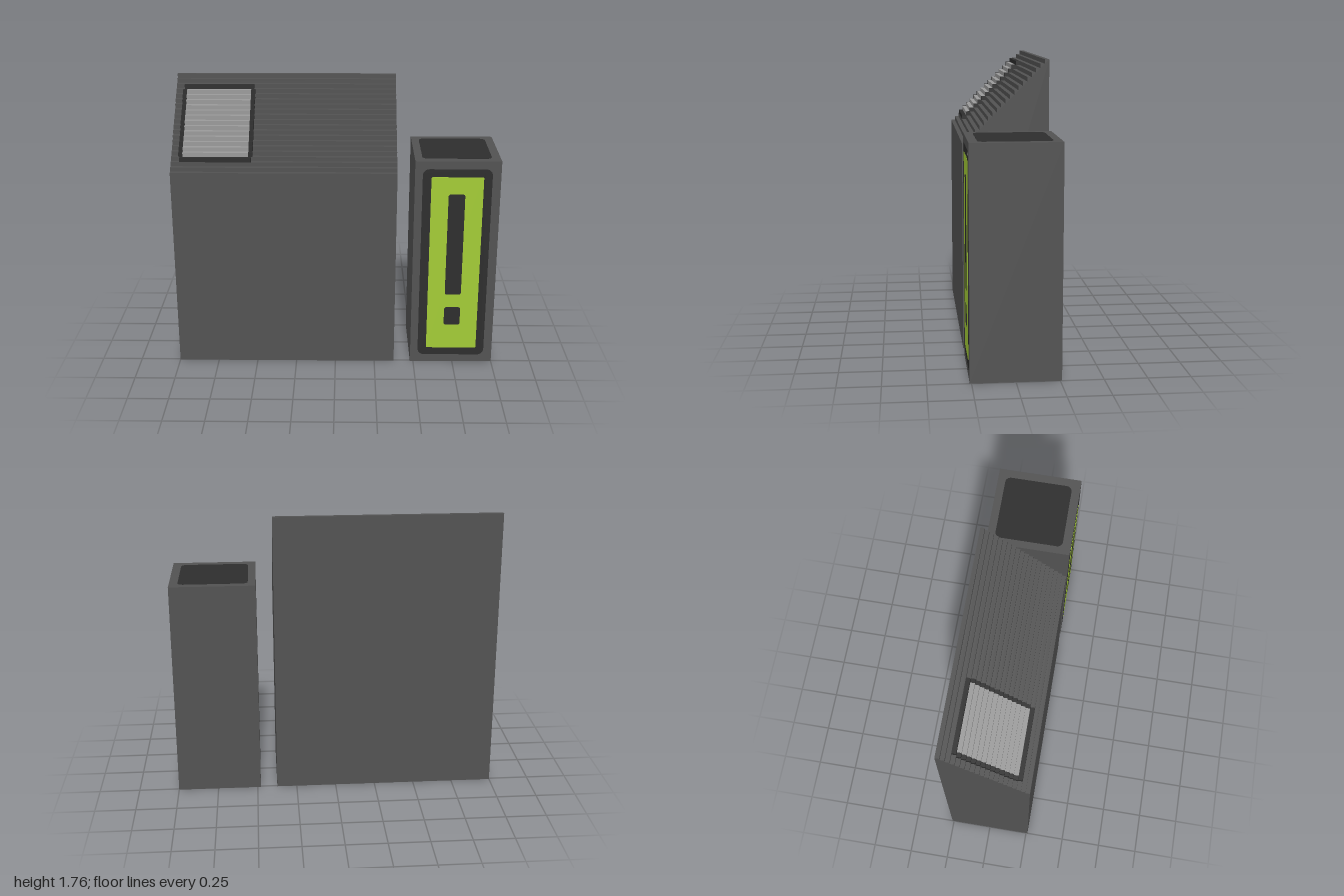
import * as THREE from 'three';

export function createModel() {
  const model = new THREE.Group();
  const mat = (name, color) => {
    const m = new THREE.MeshStandardMaterial({ color });
    m.name = name;
    return m;
  };
  const grey = mat('casing grey', 0x525252);
  const dark = mat('dark trim', 0x2d2d2d);
  const green = mat('lime green', 0xa3cb36);
  const silver = mat('screen grey', 0x9a9a9a);

  const add = (name, geometry, material, parent = model) => {
    const mesh = new THREE.Mesh(geometry, material);
    mesh.name = name;
    parent.add(mesh);
    return mesh;
  };

  // Solid with a (z, y) profile, spanning x0..x1
  const slab = (points, x0, x1) => {
    const shape = new THREE.Shape(points.map(([z, y]) => new THREE.Vector2(-z, y)));
    return new THREE.ExtrudeGeometry(shape, { depth: x1 - x0, bevelEnabled: false })
      .rotateY(Math.PI / 2).translate(x0, 0, 0);
  };

  // Staircase measurements
  const S = 0.026, D = 0.26, Y0 = 1.27, STEPS = 20;
  const stepZ = i => D - i * S;
  const stepY = i => Y0 + i * S;

  // Main cabinet with a finely stepped sloping top
  const profile = [[-D, 0], [D, 0]];
  for (let i = 0; i < STEPS; i++) profile.push([stepZ(i), stepY(i)], [stepZ(i + 1), stepY(i)]);
  add('mainCabinet', slab(profile.reverse(), -1, 0.375), grey);

  // Raised stepped strip sitting in the notches of steps a..b
  const strip = (name, a, b, x0, x1, material, parent) => {
    const pts = [];
    for (let i = a; i <= b; i++) pts.push([stepZ(i), stepY(i)], [stepZ(i), stepY(i + 1)]);
    pts.push([stepZ(b + 1), stepY(b + 1)]);
    for (let i = b; i >= a; i--) pts.push([stepZ(i + 1), stepY(i + 1)], [stepZ(i + 1), stepY(i)]);
    // drop the repeated corner at the top
    pts.splice((b - a + 1) * 2, 1);
    add(name, slab(pts.reverse(), x0, x1), material, parent);
  };
  const display = new THREE.Group();
  display.name = 'slopedDisplay';
  model.add(display);
  strip('frameBottom', 2, 2, -0.947, -0.513, dark, display);
  strip('frameTop', 16, 16, -0.947, -0.513, dark, display);
  strip('frameRight', 3, 15, -0.955, -0.93, dark, display);
  strip('frameLeft', 3, 15, -0.53, -0.505, dark, display);
  strip('screen', 3, 15, -0.93, -0.53, silver, display);

  // Side tower
  const tower = new THREE.Group();
  tower.name = 'sideTower';
  model.add(tower);
  add('towerBody', new THREE.BoxGeometry(0.52, 1.35, 0.52), grey, tower)
    .position.set(0.74, 0.675, 0);

  // Thin rounded plate in the xy plane
  const plate = (x0, y0, x1, y1, r) => {
    const s = new THREE.Shape();
    s.moveTo(x0 + r, y0);
    s.lineTo(x1 - r, y0).absarc(x1 - r, y0 + r, r, -Math.PI / 2, 0);
    s.lineTo(x1, y1 - r).absarc(x1 - r, y1 - r, r, 0, Math.PI / 2);
    s.lineTo(x0 + r, y1).absarc(x0 + r, y1 - r, r, Math.PI / 2, Math.PI);
    s.lineTo(x0, y0 + r).absarc(x0 + r, y0 + r, r, Math.PI, Math.PI * 1.5);
    return new THREE.ExtrudeGeometry(s, { depth: 0.001, bevelEnabled: false, curveSegments: 5 });
  };
  // Front panel, layered outward
  add('frontPanel', plate(0.527, 0.05, 0.948, 1.3, 0.04), dark, tower).position.z = 0.26;
  add('greenPanel', plate(0.58, 0.1, 0.897, 1.25, 0.008), green, tower).position.z = 0.261;
  add('markBar', plate(0.687, 0.473, 0.788, 1.14, 0.014), dark, tower).position.z = 0.262;
  add('markDot', plate(0.687, 0.263, 0.788, 0.385, 0.014), dark, tower).position.z = 0.262;
  // Top panel
  const topPanel = add('topPanel', plate(0.527, -0.208, 0.948, 0.212, 0.035), dark, tower);
  topPanel.rotation.x = -Math.PI / 2;
  topPanel.position.y = 1.35;

  return model;
}
